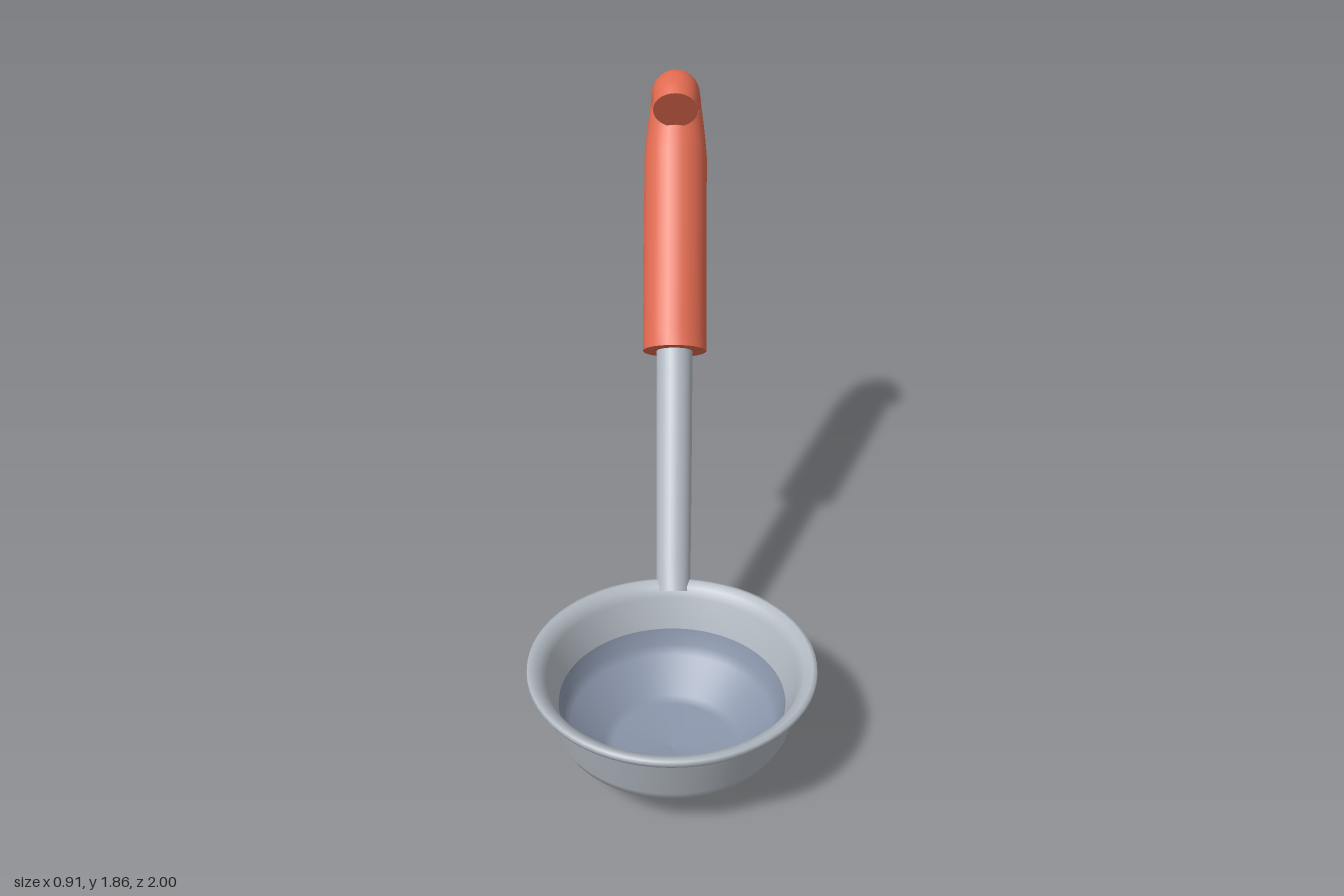
import * as THREE from 'three';

// Sweep a round section along [z, y, radius] stations in the x = 0 plane, with flat end caps
function sweep(stations, steps, sides = 28) {
  const path = new THREE.CatmullRomCurve3(stations.map(([z, y]) => new THREE.Vector3(0, y, z)), false, 'centripetal');
  const pos = [], idx = [];
  const addRing = (t) => {
    const k = Math.min(Math.floor(t * (stations.length - 1)), stations.length - 2);
    const f = t * (stations.length - 1) - k;
    const r = THREE.MathUtils.lerp(stations[k][2], stations[k + 1][2], f);
    const c = path.getPoint(t), d = path.getTangent(t);
    const start = pos.length / 3;
    for (let j = 0; j < sides; j++) {
      const a = (j / sides) * Math.PI * 2;
      const u = Math.sin(a) * r;
      pos.push(Math.cos(a) * r, c.y + d.z * u, c.z - d.y * u);
    }
    return start;
  };
  for (let i = 0; i <= steps; i++) addRing(i / steps);
  for (let i = 0; i < steps; i++) {
    for (let j = 0; j < sides; j++) {
      const n = (j + 1) % sides;
      const a = i * sides + j, b = i * sides + n;
      idx.push(a, b, a + sides, b, b + sides, a + sides);
    }
  }
  for (const t of [0, 1]) {
    const ring = addRing(t), c = path.getPoint(t), centre = pos.length / 3;
    pos.push(c.x, c.y, c.z);
    for (let j = 0; j < sides; j++) {
      const a = ring + j, b = ring + (j + 1) % sides;
      if (t) idx.push(centre, a, b);
      else idx.push(centre, b, a);
    }
  }
  const g = new THREE.BufferGeometry();
  g.setAttribute('position', new THREE.Float32BufferAttribute(pos, 3));
  g.setIndex(idx);
  g.computeVertexNormals();
  return g;
}

const lathe = (points) => new THREE.LatheGeometry(points.map(([r, y]) => new THREE.Vector2(r, y)), 64);

export function createModel() {
  const steel = new THREE.MeshStandardMaterial({ name: 'steel', color: 0xb2b9c1 });
  const innerSteel = new THREE.MeshStandardMaterial({ name: 'blueSteel', color: 0x8a95aa });
  const grip = new THREE.MeshStandardMaterial({ name: 'orangeGrip', color: 0xe06a50 });

  const model = new THREE.Group();
  model.name = 'ladle';
  const add = (name, geometry, material, z = 0) => {
    const mesh = new THREE.Mesh(geometry, material);
    mesh.name = name;
    mesh.position.z = z;
    model.add(mesh);
  };

  // Bowl: outside wall, rolled rim and upper inside wall
  add('bowl', lathe([
    [0, 0], [0.2, 0.027], [0.235, 0.038], [0.36, 0.15], [0.378, 0.185], [0.406, 0.315],
    [0.418, 0.335], [0.448, 0.352], [0.455, 0.365], [0.453, 0.378], [0.44, 0.38],
    [0.415, 0.368], [0.395, 0.34], [0.36, 0.235],
  ]), steel, 0.545);

  // Darker hollow of the bowl
  add('bowlHollow', lathe([
    [0.36, 0.235], [0.345, 0.18], [0.325, 0.15], [0.22, 0.06], [0.19, 0.048], [0, 0.03],
  ].reverse().map(([r, y]) => [r, y]).reverse()), innerSteel, 0.545);

  // Shaft rising from the rear of the rim
  add('shaft', sweep([[0.112, 0.337, 0.058], [-0.14, 0.667, 0.061], [-0.42, 1.035, 0.063]], 8), steel);

  // Grip with a hooked end
  add('handle', sweep([
    [-0.394, 1.0, 0.111], [-0.61, 1.285, 0.111], [-0.82, 1.562, 0.111], [-0.885, 1.655, 0.1],
    [-0.908, 1.715, 0.091], [-0.895, 1.757, 0.087], [-0.85, 1.778, 0.084], [-0.805, 1.775, 0.081],
    [-0.755, 1.75, 0.078],
  ], 48), grip);

  return model;
}
